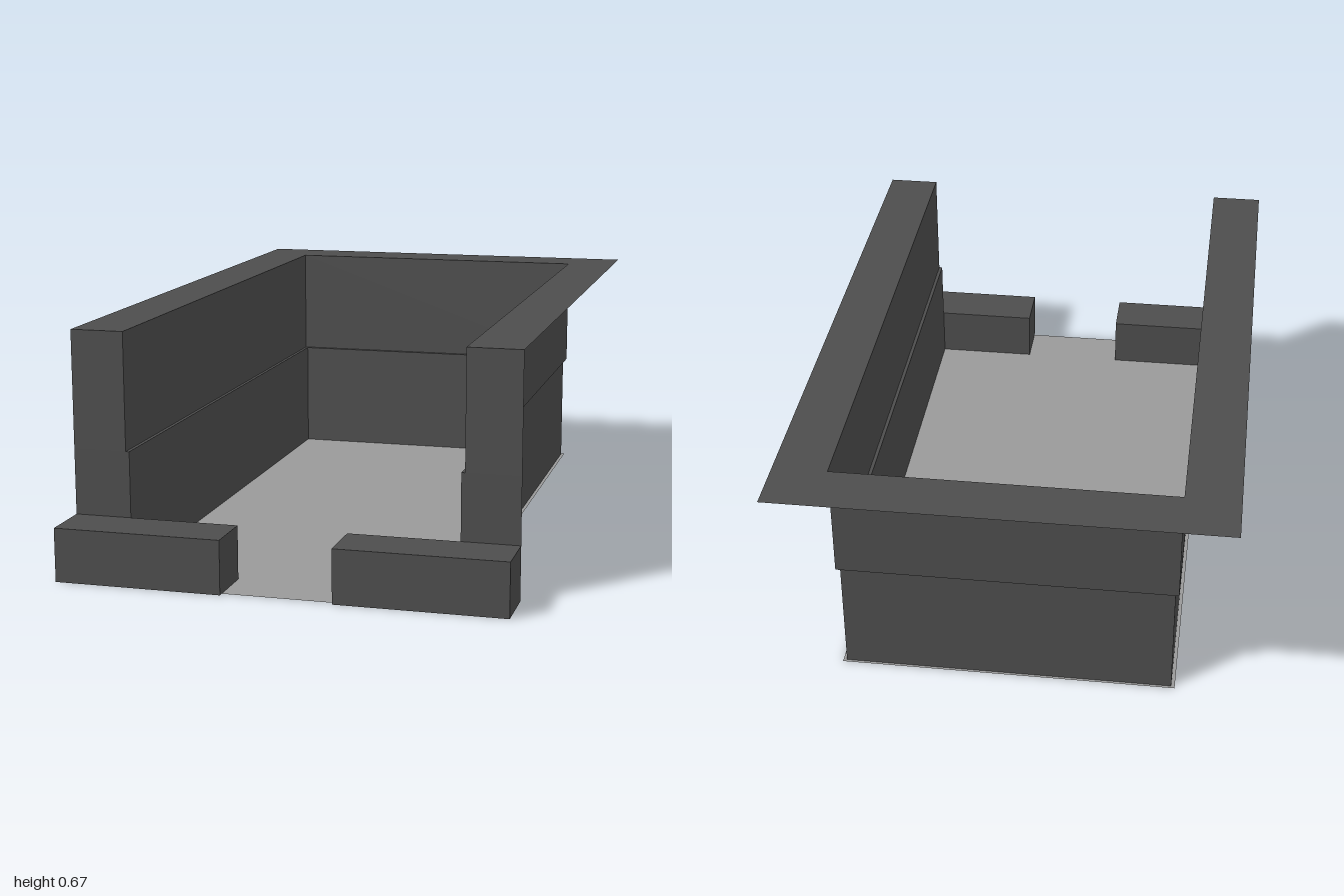
import * as THREE from 'three';

const FRONT = 0.85, TOP = 0.665, MID = 0.335, KERB = 0.15, OUT = 0.62;

const dark = new THREE.MeshStandardMaterial({ color: 0x4d4d4d, side: THREE.DoubleSide });
const light = new THREE.MeshStandardMaterial({ color: 0x999999, side: THREE.DoubleSide });

export function createModel() {
  const model = new THREE.Group();

  function add(name, geometry, parent = model, material = dark) {
    const mesh = new THREE.Mesh(geometry, material);
    mesh.name = name;
    parent.add(mesh);
    return mesh;
  }

  // Flat U-shaped strip at height y, open towards the front
  function uStrip(name, y, outX, outBack, inX, inBack) {
    const shape = new THREE.Shape([
      [-outX, -FRONT], [-inX, -FRONT], [-inX, inBack], [inX, inBack],
      [inX, -FRONT], [outX, -FRONT], [outX, outBack], [-outX, outBack],
    ].map(([x, d]) => new THREE.Vector2(x, d)));
    add(name, new THREE.ShapeGeometry(shape).rotateX(-Math.PI / 2).translate(0, y, 0));
  }

  // Thin walls on the two sides and the back, between two heights
  function wallTier(name, x, back, y0, y1) {
    const tier = new THREE.Group();
    tier.name = name;
    const h = y1 - y0, y = (y0 + y1) / 2, len = FRONT + back;
    for (const s of [-1, 1]) {
      add(s > 0 ? 'leftWall' : 'rightWall', new THREE.PlaneGeometry(len, h)
        .rotateY(s * Math.PI / 2).translate(s * x, y, (FRONT - back) / 2), tier);
    }
    add('backWall', new THREE.PlaneGeometry(2 * x, h).rotateY(Math.PI).translate(0, y, -back), tier);
    model.add(tier);
  }

  // Floor
  add('floor', new THREE.PlaneGeometry(0.94, 1.825).rotateX(-Math.PI / 2)
    .translate(0, 0, 0.0725), model, light);

  // Stepped walls, the small ledge between them, and the wide rim
  wallTier('lowerWalls', 0.46, 0.832, 0, MID);
  wallTier('upperWalls', 0.47, 0.845, MID, TOP);
  uStrip('ledge', MID, 0.47, 0.845, 0.46, 0.832);
  uStrip('rim', TOP, OUT, 1, 0.47, 0.845);

  for (const s of [-1, 1]) {
    const side = s > 0 ? 'left' : 'right';

    // Front end plates closing the thickness of the side walls
    for (const [name, inner, y0, y1] of [['UpperEnd', 0.47, MID, TOP], ['LowerEnd', 0.46, KERB, MID]]) {
      add(side + name, new THREE.PlaneGeometry(OUT - inner, y1 - y0)
        .translate(s * (OUT + inner) / 2, (y0 + y1) / 2, FRONT));
    }

    // Low kerb beside the entrance, open underneath
    const kerb = new THREE.BoxGeometry(0.467, KERB, 1 - FRONT);
    const index = Array.from(kerb.index.array);
    index.splice(18, 6); // drop the bottom face
    kerb.setIndex(index);
    add(side + 'Kerb', kerb.translate(s * 0.3865, KERB / 2, (1 + FRONT) / 2));
  }

  return model;
}
